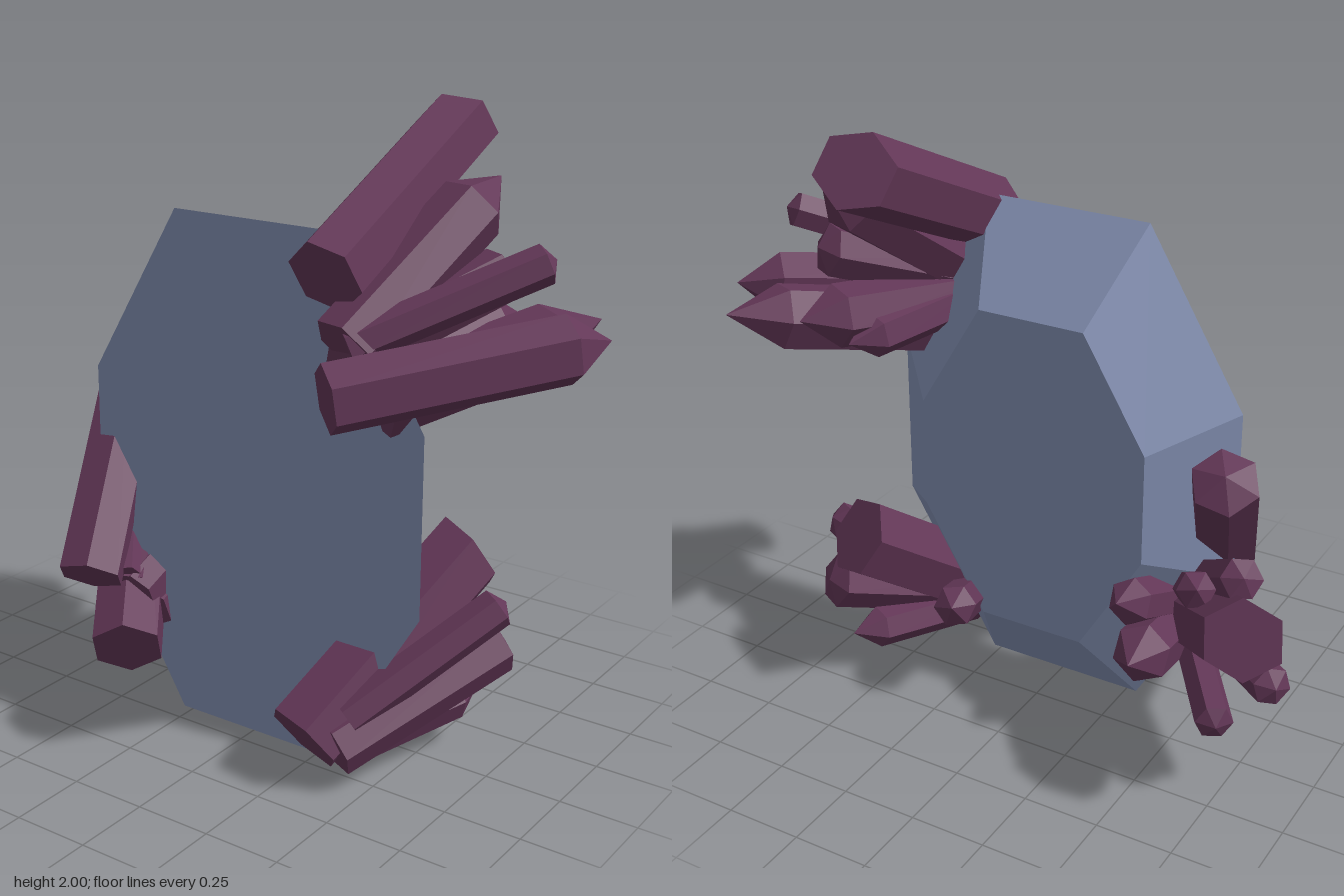
import * as THREE from 'three';

const slate = new THREE.MeshStandardMaterial({ color: 0x8592b5 });
slate.name = 'slate blue';
const plum = new THREE.MeshStandardMaterial({ color: 0x633757 });
plum.name = 'plum crystal';

// Faceted copy of a geometry with one normal per face
function faceted(geometry) {
  const g = geometry.index ? geometry.toNonIndexed() : geometry;
  g.computeVertexNormals();
  return g;
}

// Eight-sided plate, wide at the front and smaller at the back
function makePlate() {
  const outline = [[0.275, 0], [0.605, 0.55], [0.605, 1.12], [0.275, 1.67],
    [-0.285, 1.67], [-0.615, 1.12], [-0.615, 0.55], [-0.285, 0]];
  const shrink = 0.65, midY = 0.835, frontZ = 0.18, backZ = -0.045;
  const front = outline.map(([x, y]) => [x, y, frontZ]);
  const back = outline.map(([x, y]) => [x * shrink, midY + (y - midY) * shrink, backZ]);
  const p = [];
  for (let i = 0; i < 8; i++) {
    const j = (i + 1) % 8;
    p.push(...front[i], ...front[j], 0, midY, frontZ);
    p.push(...back[j], ...back[i], 0, midY, backZ);
    p.push(...front[i], ...back[i], ...back[j], ...front[i], ...back[j], ...front[j]);
  }
  const g = new THREE.BufferGeometry();
  g.setAttribute('position', new THREE.Float32BufferAttribute(p, 3));
  const mesh = new THREE.Mesh(faceted(g), slate);
  mesh.name = 'plate';
  return mesh;
}

// Six-sided crystal from base to tip. It ends in a point of the given length,
// or, where a cut direction is given, in one flat slanted face.
function makeCrystal([base, tip, r, tipLength, spin = 0, cut = null]) {
  const a = new THREE.Vector3(...base);
  const axis = new THREE.Vector3(...tip).sub(a);
  const length = axis.length();
  const profile = [[0, 0], [r, 0], [r, length - tipLength], [0, length]];
  const g = new THREE.LatheGeometry(profile.map(([x, y]) => new THREE.Vector2(x, y)), 6);
  g.rotateY(spin);
  const mesh = new THREE.Mesh(g, plum);
  mesh.quaternion.setFromUnitVectors(new THREE.Vector3(0, 1, 0), axis.normalize());
  mesh.position.copy(a);
  mesh.name = 'crystal';
  if (cut) {
    const n = new THREE.Vector3(...cut).applyQuaternion(mesh.quaternion.clone().invert());
    const pos = g.attributes.position;
    for (let i = 0; i < pos.count; i++) {
      if (pos.getY(i) > length / 2) {
        pos.setY(i, length - (n.x * pos.getX(i) + n.z * pos.getZ(i)) / n.y);
      }
    }
  }
  mesh.geometry = faceted(g);
  return mesh;
}

// Each crystal: base, tip, radius, tip length, spin, cut direction
const clusters = {
  upperCluster: [
    [[0.337, 1.565, 0.29], [0.337, 1.895, -0.425], 0.119, 0, 0.82, [-0.32, 0.43, -0.9]],
    [[0.4, 1.37, 0.28], [0.57, 1.79, -0.28], 0.108, 0.14, 0.2],
    [[0.43, 1.26, 0.42], [0.975, 1.37, -0.22], 0.105, 0.13, 0.3],
    [[0.46, 1.2, 0.2], [0.84, 1.365, -0.44], 0.107, 0.18, 0.1],
    [[0.42, 1.38, 0.3], [0.85, 1.61, -0.1], 0.06, 0.03],
    [[0.4, 1.35, 0.25], [0.66, 1.54, -0.2], 0.085, 0.04],
    [[0.38, 1.29, 0.25], [0.62, 1.36, -0.36], 0.1, 0.13],
    [[0.38, 1.3, 0.22], [0.5, 1.28, -0.28], 0.075, 0.1],
  ],
  leftCluster: [
    [[-0.49, 0.49, 0.39], [-0.675, 1.04, -0.07], 0.108, 0.05, 0.55],
    [[-0.372, 0.258, 0.36], [-0.87, 0.695, -0.34], 0.12, 0, 0.56, [-0.2, 0.42, -0.8]],
    [[-0.45, 0.34, 0.25], [-0.92, 0.445, -0.18], 0.062, 0.03],
    [[-0.42, 0.33, 0.25], [-0.765, 0.295, -0.25], 0.06, 0.03],
    [[-0.45, 0.45, 0.27], [-0.81, 0.81, -0.21], 0.065, 0.03],
    [[-0.42, 0.32, 0.2], [-0.5, 0.47, -0.32], 0.095, 0.14],
    [[-0.42, 0.4, 0.25], [-0.41, 0.61, -0.23], 0.075, 0.1],
    [[-0.43, 0.42, 0.25], [-0.66, 0.72, -0.2], 0.06, 0.05],
  ],
  rightCluster: [
    [[0.305, 0.142, 0.34], [0.51, 0.6, -0.27], 0.133, 0, 0.4, [0.4, 0.5, -0.75]],
    [[0.4, 0.13, 0.32], [0.68, 0.355, -0.22], 0.09, 0.03],
    [[0.42, 0.22, 0.28], [0.73, 0.535, -0.12], 0.063, 0.03],
    [[0.4, 0.11, 0.25], [0.59, 0.17, -0.22], 0.07, 0.1],
    [[0.36, 0.2, 0.22], [0.17, 0.42, -0.25], 0.07, 0.06],
  ],
};

export function createModel() {
  const model = new THREE.Group();
  model.name = 'crystalPlate';
  model.add(makePlate());
  for (const [name, crystals] of Object.entries(clusters)) {
    const group = new THREE.Group();
    group.name = name;
    crystals.forEach((c) => group.add(makeCrystal(c)));
    model.add(group);
  }
  return model;
}
